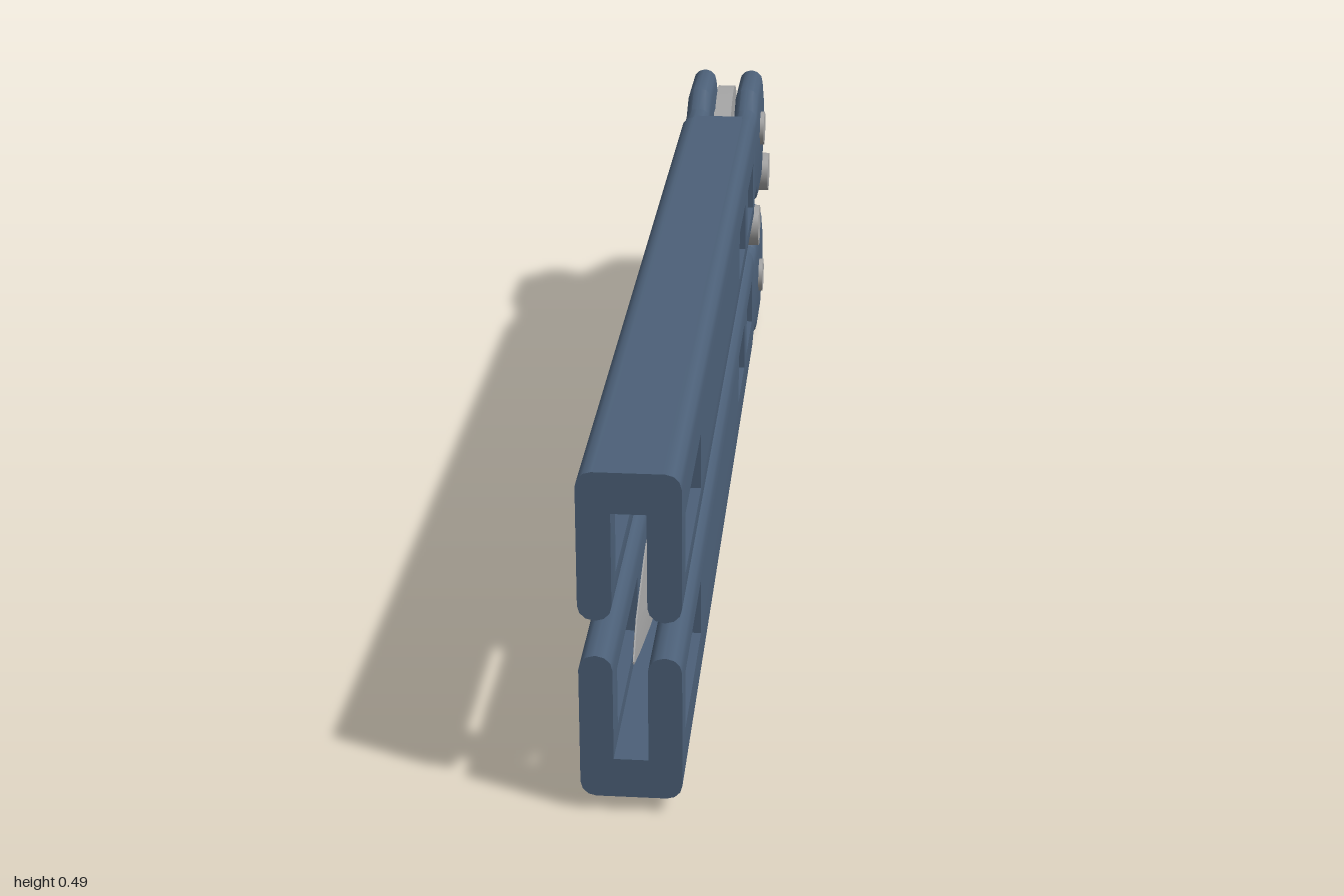
import * as THREE from 'three';
import { toCreasedNormals } from 'three/addons/utils/BufferGeometryUtils.js';

const painted = new THREE.MeshStandardMaterial({ color: 0x4c6078 });
painted.name = 'blue handle paint';
const steel = new THREE.MeshStandardMaterial({ color: 0xa4a4a4 });
steel.name = 'steel';

const MID = 0.25; // height of the plane between the two handles

function part(name, geometry, material) {
  const mesh = new THREE.Mesh(geometry, material);
  mesh.name = name;
  return mesh;
}

// Shapes are drawn as (z, y) and turned so that their depth runs along x
function shapeOf(points) {
  return new THREE.Shape(points.map(([z, y]) => new THREE.Vector2(z, y)));
}

// Windows: centre z and half length, sharing one height band
const WINDOWS = [[0.825, 0.125], [-0.188, 0.078], [-0.41, 0.08]];
const WIN_Y = 0.358, WIN_H = 0.041;
const BEVEL = 0.02;

function cheekGeometry() {
  const shape = shapeOf([
    [1, 0.273], [1, 0.475], [-0.52, 0.475], [-0.55, 0.465], [-0.61, 0.465],
    [-0.655, 0.49], [-0.79, 0.49], [-0.867, 0.42], [-0.867, 0.345],
    [-0.79, 0.27], [-0.66, 0.27], [-0.622, 0.297], [-0.56, 0.297], [-0.53, 0.273],
  ]);
  for (const [c, h] of WINDOWS) {
    shape.holes.push(new THREE.Path([[-1, -1], [-1, 1], [1, 1], [1, -1]].map(
      ([a, b]) => new THREE.Vector2(c + a * h, WIN_Y + b * WIN_H))));
  }
  const g = new THREE.ExtrudeGeometry(shape, {
    depth: 0.003, bevelThickness: BEVEL, bevelSize: BEVEL, bevelOffset: -BEVEL, bevelSegments: 3,
  });
  g.translate(0, 0, -0.0015);
  // Keep the window edges and the free end square
  const p = g.attributes.position;
  for (let i = 0; i < p.count; i++) {
    const z = p.getX(i), y = p.getY(i);
    if (z > 0.975) p.setX(i, 1);
    for (const [c, h] of WINDOWS) {
      if (Math.abs(z - c) < h + BEVEL + 0.0005 && Math.abs(y - WIN_Y) < WIN_H + BEVEL + 0.0005) {
        p.setXY(i, c + Math.sign(z - c) * h, WIN_Y + Math.sign(y - WIN_Y) * WIN_H);
      }
    }
  }
  g.rotateY(-Math.PI / 2);
  return toCreasedNormals(g, 0.6);
}

// Pin across the model
function pin(name, y, z, r) {
  const g = new THREE.CylinderGeometry(r, r, 0.145, 32);
  g.rotateZ(Math.PI / 2);
  const mesh = part(name, g, steel);
  mesh.position.set(0, y, z);
  return mesh;
}

// Channel handle: two cheeks joined by a spine, with its pivot
function handle(name, cheek) {
  const group = new THREE.Group();
  group.name = name;
  for (const s of [1, -1]) {
    const side = part(s > 0 ? 'leftCheek' : 'rightCheek', cheek, painted);
    side.position.x = s * 0.0437;
    group.add(side);
  }
  const spine = part('handleSpine', new THREE.BoxGeometry(0.087, 0.055, 1.53), painted);
  spine.position.set(0, 0.4475, 0.235);
  group.add(spine, pin('pivotPin', 0.395, -0.73, 0.031));
  return group;
}

// Flat plate carrying both pivots, with a round rear end
function tangGeometry() {
  const shape = new THREE.Shape();
  shape.moveTo(-0.42, 0.125);
  shape.lineTo(-0.42, 0.333);
  shape.lineTo(-0.47, 0.337);
  shape.quadraticCurveTo(-0.53, 0.36, -0.6, 0.42);
  shape.quadraticCurveTo(-0.67, 0.475, -0.73, 0.475);
  shape.quadraticCurveTo(-0.78, 0.47, -0.82, 0.42);
  shape.lineTo(-0.865, 0.38);
  shape.lineTo(-0.96, 0.325);
  shape.quadraticCurveTo(-1, 0.295, -1, 0.25);
  shape.quadraticCurveTo(-1, 0.205, -0.96, 0.175);
  shape.lineTo(-0.865, 0.115);
  shape.lineTo(-0.8, 0.04);
  shape.quadraticCurveTo(-0.765, 0, -0.72, 0);
  shape.quadraticCurveTo(-0.67, 0.002, -0.63, 0.04);
  shape.quadraticCurveTo(-0.57, 0.115, -0.5, 0.125);
  const g = new THREE.ExtrudeGeometry(shape, { depth: 0.03, bevelEnabled: false, curveSegments: 8 });
  g.translate(0, 0, -0.015);
  g.rotateY(-Math.PI / 2);
  return toCreasedNormals(g, 0.6);
}

// Blade sections: z, spine y, grind line y, cutting edge y, half thickness
const SECTIONS = [
  [-0.5, 0.125, 0.3, 0.333, 0.013],
  [-0.42, 0.125, 0.24, 0.335, 0.013],
  [0.3, 0.125, 0.23, 0.333, 0.013],
  [0.55, 0.137, 0.22, 0.315, 0.012],
  [0.7, 0.155, 0.21, 0.296, 0.01],
  [0.82, 0.172, 0.205, 0.27, 0.008],
  [0.92, 0.186, 0.2, 0.235, 0.004],
  [0.96, 0.191, 0.192, 0.194, 0.001],
];

function bladeGeometry() {
  const pos = [], idx = [];
  for (const [z, s, g, e, t] of SECTIONS) {
    const k = Math.min(t, 0.001);
    for (const [x, y] of [[t, s], [t, g], [k, e], [-k, e], [-t, g], [-t, s]]) pos.push(x, y, z);
  }
  const last = SECTIONS.length - 1;
  for (let i = 0; i < last; i++) {
    for (let j = 0; j < 6; j++) {
      const a = i * 6 + j, b = i * 6 + (j + 1) % 6;
      idx.push(a, b, b + 6, a, b + 6, a + 6);
    }
  }
  for (let j = 1; j < 5; j++) idx.push(last * 6, last * 6 + j, last * 6 + j + 1);
  const geo = new THREE.BufferGeometry();
  geo.setAttribute('position', new THREE.Float32BufferAttribute(pos, 3));
  geo.setIndex(idx);
  return toCreasedNormals(geo, 0.1);
}

export function createModel() {
  const model = new THREE.Group();
  model.name = 'foldingKnife';

  const cheek = cheekGeometry();
  const upper = handle('upperHandle', cheek);
  const lower = handle('lowerHandle', cheek);
  lower.rotation.z = Math.PI;
  lower.position.y = 2 * MID - 0.004;

  model.add(
    upper, lower,
    part('tang', tangGeometry(), steel),
    part('blade', bladeGeometry(), steel),
    pin('stopPin', MID + 0.003, -0.58, 0.037),
    pin('endPin', MID + 0.003, -0.908, 0.037),
  );
  return model;
}
